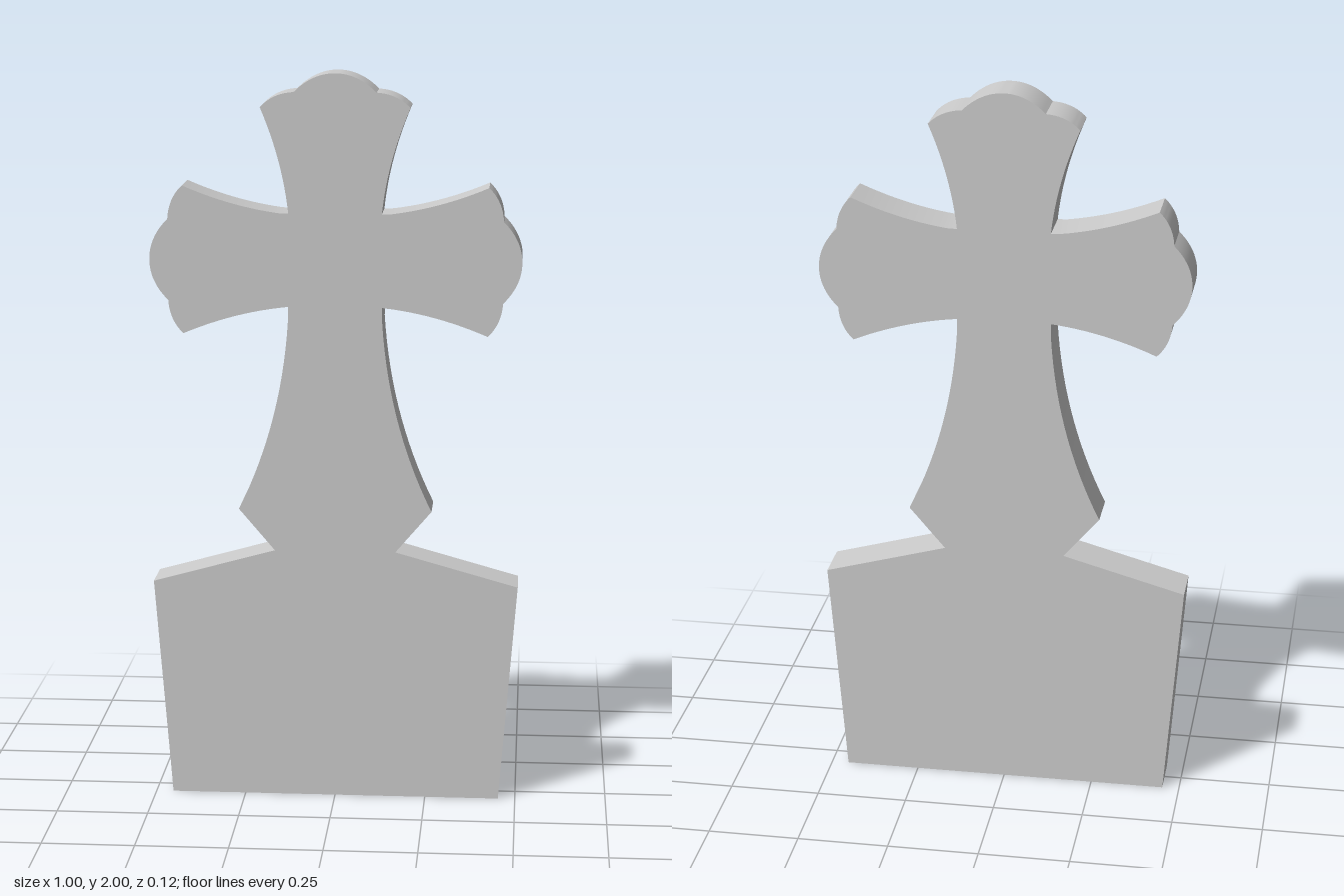
import * as THREE from 'three';
import { toCreasedNormals } from 'three/addons/utils/BufferGeometryUtils.js';

const DEPTH = 0.125;
const CROSS_Y = 1.5; // height of the crossing

// Half of a flared arm pointing up: scalloped tip, then the concave flank to the inner corner
function halfArm() {
  const p = new THREE.Path();
  p.moveTo(0, 0.5);
  p.quadraticCurveTo(0.06, 0.5, 0.11, 0.45);
  p.quadraticCurveTo(0.165, 0.447, 0.2, 0.41);
  p.quadraticCurveTo(0.14, 0.27, 0.125, 0.127);
  return p.getPoints(12);
}

// Right half of the outline, from the top of the cross down to the ground
function rightOutline() {
  const arm = halfArm();
  const place = (x, y) => new THREE.Vector2(x, y + CROSS_Y);
  const top = arm.map((v) => place(v.x, v.y));
  const sideUpper = arm.map((v) => place(v.y, v.x)).reverse().slice(1);
  const sideLower = arm.map((v) => place(v.y, -v.x)).slice(1);

  // Flared shaft, notch, sloping shoulder and tapered base
  const foot = new THREE.Path();
  foot.moveTo(0.125, CROSS_Y - 0.127);
  foot.quadraticCurveTo(0.137, 1.07, 0.263, 0.815);
  foot.lineTo(0.165, 0.7);
  foot.lineTo(0.5, 0.607);
  foot.lineTo(0.453, 0);
  return [...top, ...sideUpper, ...sideLower, ...foot.getPoints(16).slice(1)];
}

export function createModel() {
  const group = new THREE.Group();
  group.name = 'crossHeadstone';

  // Mirror the right half; the top point lies on the axis, so it is used once
  const right = rightOutline();
  const left = right.slice(1).reverse().map((v) => new THREE.Vector2(-v.x, v.y));
  const shape = new THREE.Shape([...right, ...left]);

  const slab = new THREE.ExtrudeGeometry(shape, { depth: DEPTH, bevelEnabled: false });
  slab.translate(0, 0, -DEPTH / 2);

  const mesh = new THREE.Mesh(
    toCreasedNormals(slab, Math.PI / 7),
    new THREE.MeshStandardMaterial({ color: 0xcccccc })
  );
  mesh.name = 'crossAndBaseSlab';
  group.add(mesh);
  return group;
}
